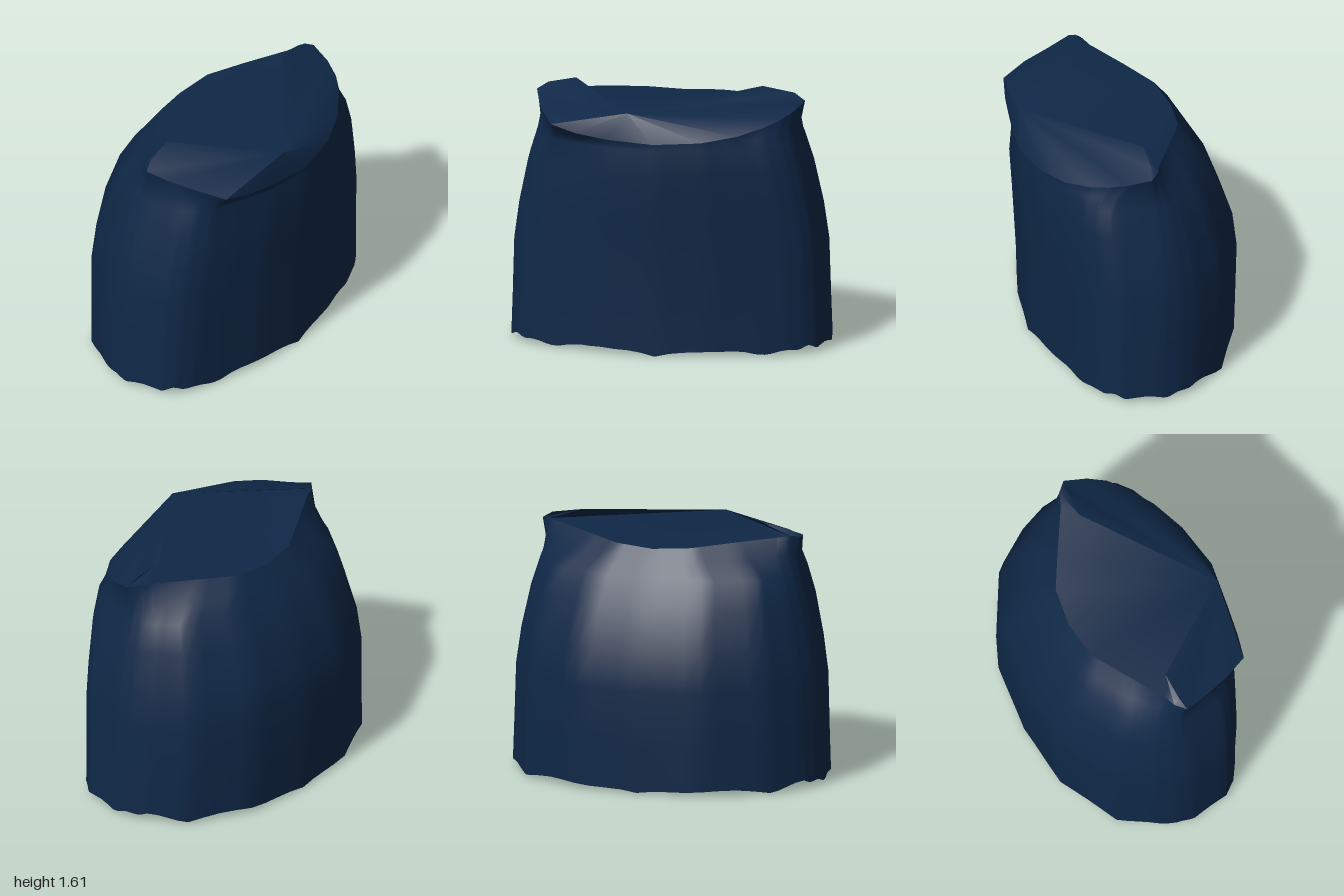
import * as THREE from 'three';
import { toCreasedNormals } from 'three/addons/utils/BufferGeometryUtils.js';

const SUB = 4; // samples between two outline points

// Half outline from front centre, round the left side, to back centre: [x, z, hem height]
const OUTLINE = [[0, 1, 0.007], [0.35, 0.92, 0.052], [0.62, 0.78, 0.022], [0.8, 0.67, 0.035],
  [0.9, 0.56, 0.055], [0.96, 0.42, 0.045], [1, 0, 0.032], [0.985, -0.17, 0.042],
  [0.94, -0.34, 0.058], [0.79, -0.65, 0.024], [0.42, -0.945, 0.045], [0, -1, 0.008]];

// Half waist edge in the same order: [x, y, z]
const RIM = [[0, 1.36, 0.655], [0.29, 1.37, 0.6], [0.5, 1.4, 0.51], [0.65, 1.44, 0.4],
  [0.74, 1.475, 0.31], [0.8, 1.505, 0.2], [0.84, 1.54, 0.06], [0.78, 1.55, 0],
  [0.7, 1.54, -0.03], [0.45, 1.52, -0.18], [0.24, 1.5, -0.3], [0, 1.485, -0.33]];

// Fabric levels: [height, half width, front z, back z]
const LEVELS = [[0.03, 1.0, 0.592, -0.64], [0.3, 0.99, 0.6, -0.65], [0.65, 0.978, 0.622, -0.662],
  [0.88, 0.944, 0.64, -0.637], [1.15, 0.885, 0.665, -0.54], [1.32, 0.832, 0.655, -0.44]];

const LINING_LEVEL = [0.1, 0.965, 0.57, -0.615];

// Mirror a half ring into a closed ring
function closeRing(half) {
  const mirrored = half.slice(1, -1).reverse().map(p => new THREE.Vector3(-p.x, p.y, p.z));
  return [...half, ...mirrored];
}

// Insert straight samples between neighbours
function subdivide(ring) {
  const out = [];
  ring.forEach((p, i) => {
    const q = ring[(i + 1) % ring.length];
    for (let k = 0; k < SUB; k++) out.push(p.clone().lerp(q, k / SUB));
  });
  return out;
}

function levelRing([y, width, front, back]) {
  const mid = 0.03;
  return closeRing(OUTLINE.map(([x, z]) => new THREE.Vector3(
    x * width, y, mid + (z > 0 ? z * (front - mid) : -z * (back - mid)))));
}

function geometryFrom(points, index) {
  const g = new THREE.BufferGeometry().setFromPoints(points);
  g.setIndex(index);
  g.computeVertexNormals();
  return g;
}

// Loft closed rings from bottom to top
function loft(rings) {
  const n = rings[0].length, index = [];
  for (let r = 0; r < rings.length - 1; r++) {
    for (let i = 0; i < n; i++) {
      const j = (i + 1) % n, a = r * n + i, b = r * n + j;
      index.push(a, b, b + n, a, b + n, a + n);
    }
  }
  return geometryFrom(rings.flat(), index);
}

export function createModel() {
  const group = new THREE.Group();
  const navy = new THREE.MeshStandardMaterial({ color: 0x0f2847, side: THREE.DoubleSide });
  navy.name = 'navy fabric';
  const add = (name, geometry) => {
    const mesh = new THREE.Mesh(geometry, navy);
    mesh.name = name;
    group.add(mesh);
  };

  // Waist edge, with the fold on the right front pulled outwards
  const rim = closeRing(RIM.map(p => new THREE.Vector3(...p)));
  rim[18].set(-0.74, 1.475, 0.38);
  rim[19].set(-0.66, 1.435, 0.54);
  rim[20].set(-0.5, 1.395, 0.58);
  rim[21].set(-0.29, 1.37, 0.615);

  // Skirt body, pinched just under the waist edge
  const levels = LEVELS.map(levelRing);
  const neck = levels.at(-1).map((p, i) => {
    const q = p.clone().lerp(rim[i], 0.5);
    q.x *= 0.975;
    return q;
  });

  // Wavy, slightly ragged hem
  const hem = closeRing(OUTLINE.map(o => new THREE.Vector3(0, o[2], 0)));
  levels[0].forEach((p, i) => { p.y = hem[i].y; });
  const rings = [...levels, neck, rim].map(subdivide);
  rings[0].forEach((p, i) => {
    p.y += 0.008 * Math.sin(Math.min(i, rings[0].length - i) * 1.2);
  });
  add('skirt', loft(rings));

  // Folded waist panel: a fan gathered at the front, raised into a ridge at each side
  const apex = new THREE.Vector3(-0.17, 1.54, 0.605);
  const leftFold = [new THREE.Vector3(0.77, 1.583, 0.04), new THREE.Vector3(0.57, 1.615, 0.035)];
  const rightFold = [new THREE.Vector3(-0.6, 1.615, 0.03), new THREE.Vector3(-0.77, 1.583, 0.04)];
  const edge = [...rim.slice(0, 7), ...leftFold, ...rim.slice(7, 16), ...rightFold, ...rim.slice(16)];
  const points = [apex, ...edge], index = [];
  edge.forEach((p, i) => index.push(0, i + 1, (i + 1) % edge.length + 1));
  for (const fold of [leftFold, rightFold]) {
    const s = edge.indexOf(fold[0]); // point index of the waist corner before the fold
    index.push(s, s + 2, s + 1, s, s + 3, s + 2);
  }
  add('waistPanel', toCreasedNormals(geometryFrom(points, index), 0.8));

  // Turned-in hem
  const liningRing = levelRing(LINING_LEVEL);
  add('hemFold', loft([subdivide(liningRing), rings[0]]));

  // Lining just above the hem, with two leg openings
  const lining = new THREE.Shape(liningRing.map(p => new THREE.Vector2(p.x, p.z)));
  for (const side of [-1, 1]) {
    const hole = new THREE.Path();
    hole.absellipse(side * 0.475, 0, 0.425, 0.45, 0, Math.PI * 2, true);
    lining.holes.push(hole);
  }
  const liningGeometry = new THREE.ShapeGeometry(lining, 8);
  liningGeometry.rotateX(Math.PI / 2);
  liningGeometry.translate(0, LINING_LEVEL[0], 0);
  add('lining', liningGeometry);

  return group;
}
